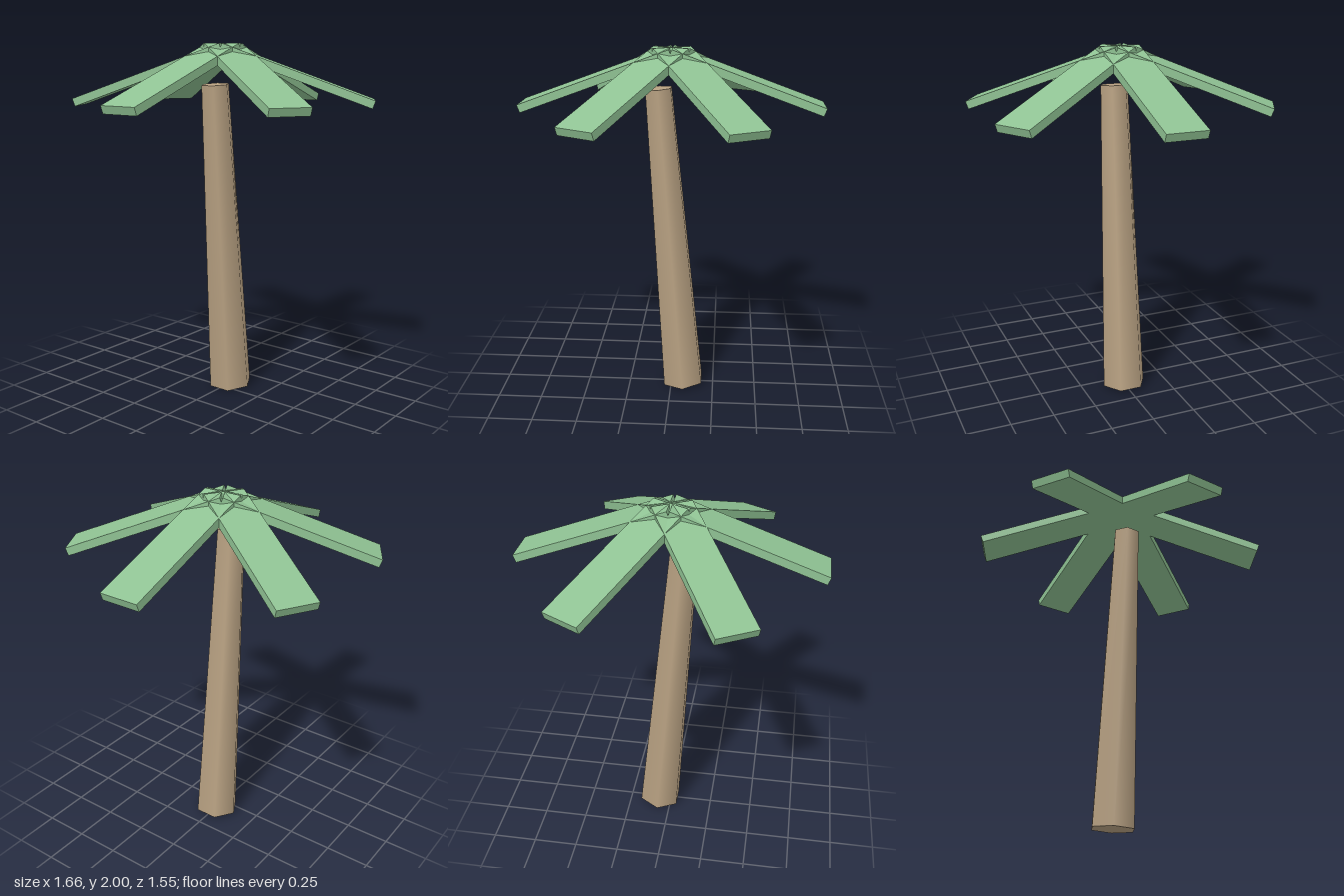
import * as THREE from 'three';

export function createModel() {
  const model = new THREE.Group();
  const bark = new THREE.MeshStandardMaterial({ color: 0xb8a182 });
  const leaf = new THREE.MeshStandardMaterial({ color: 0x8fc293, flatShading: true });

  // Tapered six-sided trunk, leaning towards -x
  const trunk = new THREE.Mesh(new THREE.CylinderGeometry(0.08, 0.128, 1.775, 6), bark);
  trunk.name = 'trunk';
  trunk.position.set(0, 0.896, 0);
  trunk.rotation.z = 0.08;
  model.add(trunk);

  // Six drooping fronds meeting at the crown; each box starts at its inner end
  const length = 0.875, thickness = 0.045, width = 0.226, droop = 0.35;
  const frondShape = new THREE.BoxGeometry(length, thickness, width);
  frondShape.translate(length / 2, 0, 0);
  frondShape.rotateZ(-droop);

  const crown = new THREE.Group();
  crown.name = 'crown';
  crown.position.y = 2 - (thickness / 2) * Math.cos(droop);
  for (let i = 0; i < 6; i++) {
    const frond = new THREE.Mesh(frondShape, leaf);
    frond.name = 'frond' + (i + 1);
    frond.rotation.y = (i * Math.PI) / 3;
    crown.add(frond);
  }
  model.add(crown);
  return model;
}
